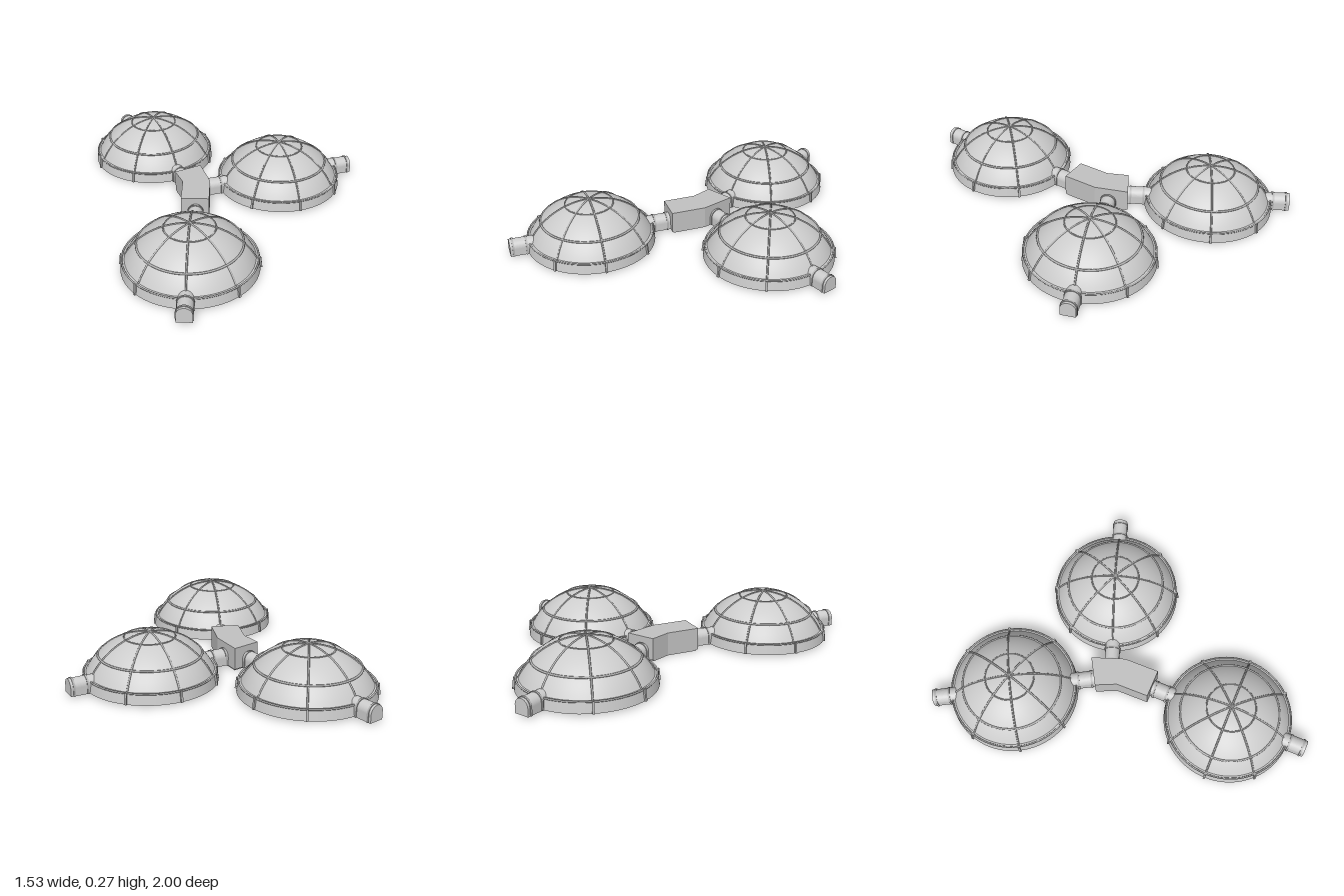
import * as THREE from 'three';

const mat = (name, color, side = THREE.FrontSide) => {
  const m = new THREE.MeshStandardMaterial({ color, side });
  m.name = name;
  return m;
};

const BASE = 0.01;          // underside of the domes
const CENTRE_Y = -0.112;    // centre of the sphere the cap is cut from
const CAP_R = 0.373;
const RIM_Y = 0.065;

export function createModel() {
  const shellGrey = mat('shellGrey', 0xcccccc);
  const ribGrey = mat('ribGrey', 0xb4b4b4);
  const hubGrey = mat('hubGrey', 0xc2c2c2);

  const add = (parent, name, geo, material) => {
    const mesh = new THREE.Mesh(geo, material);
    mesh.name = name;
    parent.add(mesh);
    return mesh;
  };

  // Point on the cap at radius r from the axis
  const capY = (r, R = CAP_R) => CENTRE_Y + Math.sqrt(R * R - r * r);
  const capRadius = (y, R = CAP_R) => Math.sqrt(R * R - (y - CENTRE_Y) ** 2);
  const rimR = capRadius(RIM_Y);

  // Arched tunnel running along z between z0 and z1
  const arch = (halfWidth, z0, z1) => {
    const spring = 0.052;
    const s = new THREE.Shape();
    s.moveTo(-halfWidth, BASE);
    s.lineTo(halfWidth, BASE);
    s.lineTo(halfWidth, spring);
    s.absarc(0, spring, halfWidth, 0, Math.PI, false);
    s.closePath();
    return new THREE.ExtrudeGeometry(s, { depth: z1 - z0, bevelEnabled: false, curveSegments: 12 })
      .translate(0, 0, z0);
  };

  function makeDome() {
    const dome = new THREE.Group();

    // Cap, low wall, ledge and floor
    const arc = [];
    const full = Math.asin(rimR / CAP_R);
    for (let i = 0; i <= 16; i++) {
      const a = full * (1 - i / 16);
      arc.push(new THREE.Vector2(Math.max(CAP_R * Math.sin(a), 0), CENTRE_Y + CAP_R * Math.cos(a)));
    }
    add(dome, 'domeCap', new THREE.LatheGeometry(arc, 64), shellGrey);
    const wall = [[0.35, BASE], [0.342, RIM_Y]].map(p => new THREE.Vector2(...p));
    add(dome, 'baseWall', new THREE.LatheGeometry(wall, 64), shellGrey);
    const ledge = [[0.342, RIM_Y], [rimR - 0.002, RIM_Y + 0.001]].map(p => new THREE.Vector2(...p));
    add(dome, 'wallLedge', new THREE.LatheGeometry(ledge, 64), shellGrey);
    add(dome, 'floor', new THREE.CircleGeometry(0.35, 64).rotateX(Math.PI / 2).translate(0, BASE, 0), shellGrey);

    // Horizontal rings
    for (const [r, y, t] of [[0.341, RIM_Y, 0.005], [capRadius(0.15), 0.15, 0.006], [0.13, capY(0.13), 0.004]]) {
      add(dome, 'ring', new THREE.TorusGeometry(r, t, 6, 64).rotateX(Math.PI / 2).translate(0, y, 0), ribGrey);
    }

    // Eight meridian ribs with a short post on the wall
    const ribPoints = [];
    for (let i = 0; i <= 8; i++) {
      const a = full * (1 - i / 8);
      ribPoints.push(new THREE.Vector3(0, CENTRE_Y + CAP_R * Math.cos(a), CAP_R * Math.sin(a)));
    }
    const ribGeo = new THREE.TubeGeometry(new THREE.CatmullRomCurve3(ribPoints), 20, 0.005, 6);
    const postGeo = new THREE.BoxGeometry(0.011, RIM_Y - BASE + 0.004, 0.024)
      .rotateX(-0.12).translate(0, (RIM_Y + BASE) / 2 + 0.001, 0.343);
    for (let i = 0; i < 8; i++) {
      const angle = i * Math.PI / 4;
      add(dome, 'rib', ribGeo, ribGrey).rotation.y = angle;
      add(dome, 'wallPost', postGeo, ribGrey).rotation.y = angle;
    }

    // Outer and inner tunnels with collars
    add(dome, 'outerTunnel', arch(0.04, 0.3, 0.445), shellGrey);
    add(dome, 'innerTunnel', arch(0.04, -0.45, -0.3), shellGrey);
    for (const z of [0.35, 0.422, -0.36, -0.432]) {
      add(dome, 'tunnelCollar', arch(0.044, z, z + 0.01), ribGrey);
    }
    return dome;
  }

  const model = new THREE.Group();
  model.name = 'domeHabitat';

  // Three domes turned so their inner tunnels meet the hub
  const places = [
    ['frontDome', -0.118, 0.552, 0],
    ['leftDome', 0.336, -0.307, 110],
    ['backDome', -0.413, -0.595, -150],
  ];
  for (const [name, x, z, deg] of places) {
    const dome = makeDome();
    dome.name = name;
    dome.position.set(x, 0, z);
    dome.rotation.y = THREE.MathUtils.degToRad(deg);
    model.add(dome);
  }

  // Bent hub with a thin foot plate; shape y is -z
  const outline = [[-0.197, 0.108], [-0.045, 0.108], [-0.048, -0.085],
    [-0.112, -0.26], [-0.25, -0.178], [-0.2, -0.07]];
  const prism = (inset, y0, y1) => {
    const cx = -0.14, cz = -0.06;
    const s = new THREE.Shape(outline.map(([x, z]) =>
      new THREE.Vector2(cx + (x - cx) * inset, -(cz + (z - cz) * inset))));
    return new THREE.ExtrudeGeometry(s, { depth: y1 - y0, bevelEnabled: false })
      .rotateX(-Math.PI / 2).translate(0, y0, 0);
  };
  add(model, 'hub', prism(1, 0.008, 0.127), hubGrey);
  add(model, 'hubFoot', prism(0.95, 0, 0.008), hubGrey);

  return model;
}
